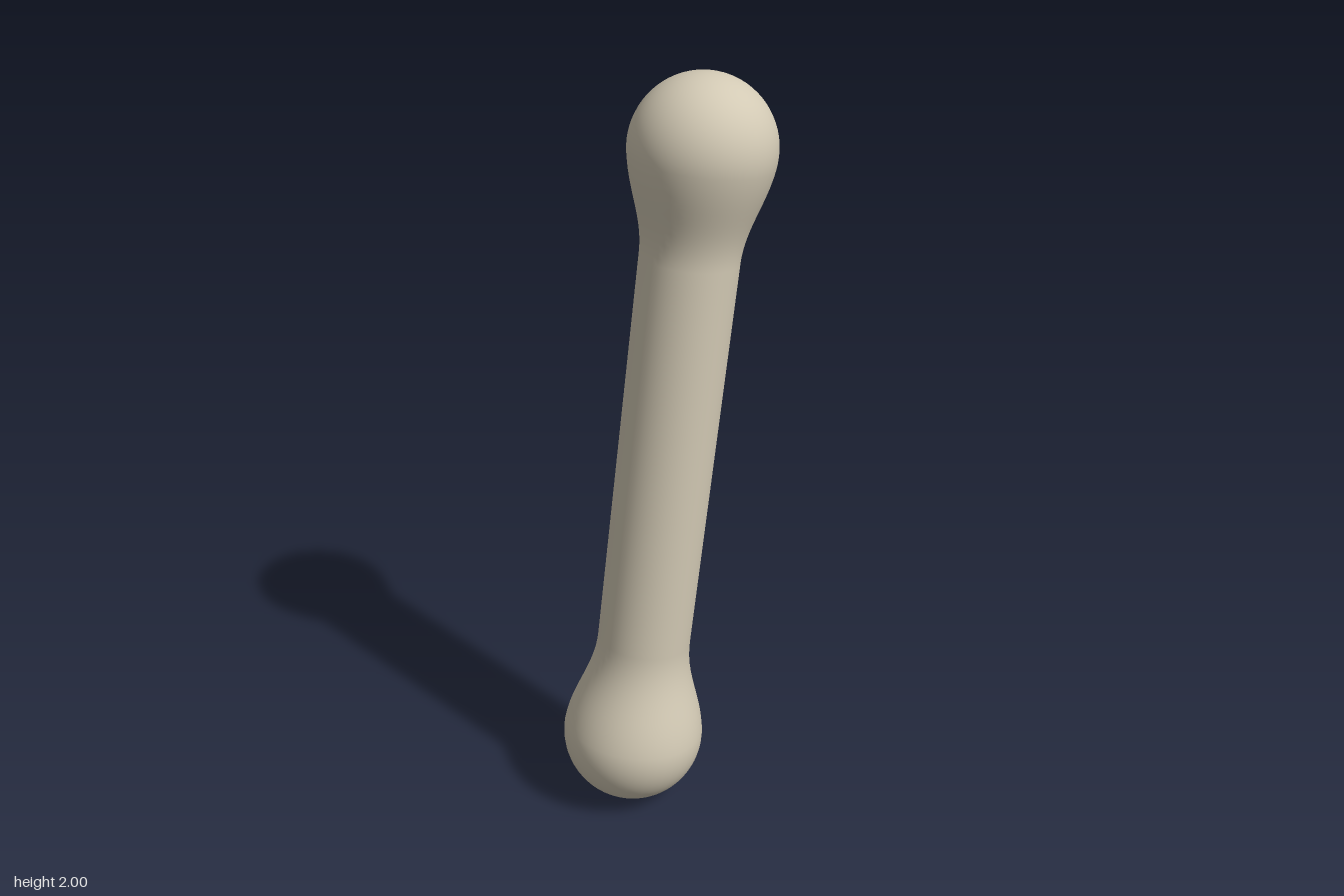
import * as THREE from 'three';

export function createModel() {
  const group = new THREE.Group();
  const bone = new THREE.MeshStandardMaterial({ color: 0xd2c9b4 });
  bone.name = 'bone';

  // Centres and radii of the two rounded ends
  const low = new THREE.Vector3(-0.11, 0.192, -0.003);
  const high = new THREE.Vector3(0.118, 1.818, 0.012);
  const rLow = 0.192, rHigh = 0.182, rShaft = 0.125;
  const axis = high.clone().sub(low);
  const length = axis.length();

  // Profile along the axis: ball, flared neck, straight shaft, neck, ball
  const profile = [];
  const steps = 20;
  const ball = (r, y, from, to) => {
    for (let i = 0; i <= steps; i++) {
      const a = from + (to - from) * i / steps;
      profile.push(new THREE.Vector2(Math.max(r * Math.cos(a), 0), y + r * Math.sin(a)));
    }
  };
  const neck = (r0, y0, c0, c1, r1, y1) => {
    const curve = new THREE.CubicBezierCurve(
      new THREE.Vector2(r0, y0), c0, c1, new THREE.Vector2(r1, y1));
    profile.push(...curve.getPoints(14).slice(1));
  };
  ball(rLow, 0, -Math.PI / 2, 0.15);
  neck(rLow * Math.cos(0.15), rLow * Math.sin(0.15),
    new THREE.Vector2(0.174, 0.125), new THREE.Vector2(0.125, 0.19), rShaft, 0.3);
  for (let i = 1; i <= 8; i++) {
    profile.push(new THREE.Vector2(rShaft, 0.3 + (length - 0.57) * i / 8));
  }
  neck(rShaft, length - 0.27,
    new THREE.Vector2(0.125, length - 0.18), new THREE.Vector2(0.166, length - 0.12),
    rHigh * Math.cos(0.15), length - rHigh * Math.sin(0.15));
  ball(rHigh, length, -0.15, Math.PI / 2);
  const points = profile.filter((p, i) => i === 0 || p.distanceTo(profile[i - 1]) > 1e-5);

  // Leaning bone
  const mesh = new THREE.Mesh(new THREE.LatheGeometry(points, 48), bone);
  mesh.name = 'knobbedBone';
  mesh.position.copy(low);
  mesh.quaternion.setFromUnitVectors(new THREE.Vector3(0, 1, 0), axis.normalize());
  group.add(mesh);
  return group;
}
